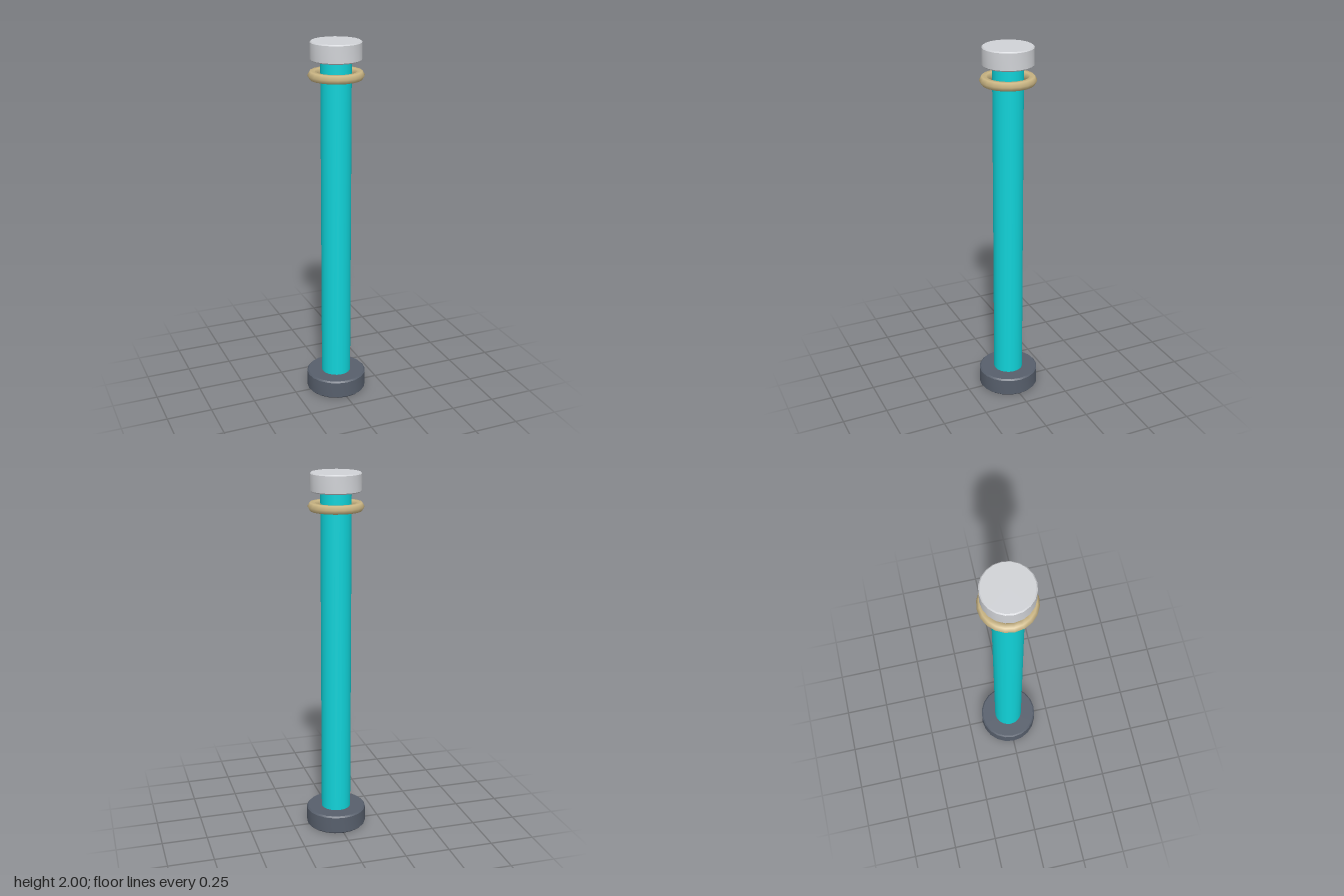
import * as THREE from 'three';
import { toCreasedNormals } from 'three/addons/utils/BufferGeometryUtils.js';

const SIDES = 20;

function material(name, color) {
  const m = new THREE.MeshStandardMaterial({ color });
  m.name = name;
  return m;
}

// Solid disc with small chamfered rims
function chamferedDisc(radius, y0, y1, c) {
  const profile = [
    [0, y0], [radius - c, y0], [radius, y0 + c],
    [radius, y1 - c], [radius - c, y1], [0, y1],
  ].map(([x, y]) => new THREE.Vector2(x, y));
  return toCreasedNormals(new THREE.LatheGeometry(profile, SIDES), 0.6);
}

export function createModel() {
  const model = new THREE.Group();
  model.name = 'post';

  const add = (name, geometry, mat) => {
    const mesh = new THREE.Mesh(geometry, mat);
    mesh.name = name;
    model.add(mesh);
    return mesh;
  };

  // Dark foot
  add('base', chamferedDisc(0.167, 0, 0.105, 0.008), material('dark slate', 0x575f6c));

  // Long slim shaft, sunk slightly into both end pieces
  const shaft = add('shaft', new THREE.CylinderGeometry(0.082, 0.082, 1.86, SIDES),
    material('turquoise', 0x10d2d8));
  shaft.position.y = 1.0;

  // Loose ring floating around the shaft, hexagonal in section
  const ring = add('ring', new THREE.TorusGeometry(0.125, 0.025, 6, SIDES),
    material('pale brass', 0xcbb684));
  ring.rotation.x = -Math.PI / 2;
  ring.position.y = 1.823;

  // Light cap
  add('cap', chamferedDisc(0.136, 1.9, 2, 0.006), material('light grey', 0xd0d2d6));

  return model;
}
